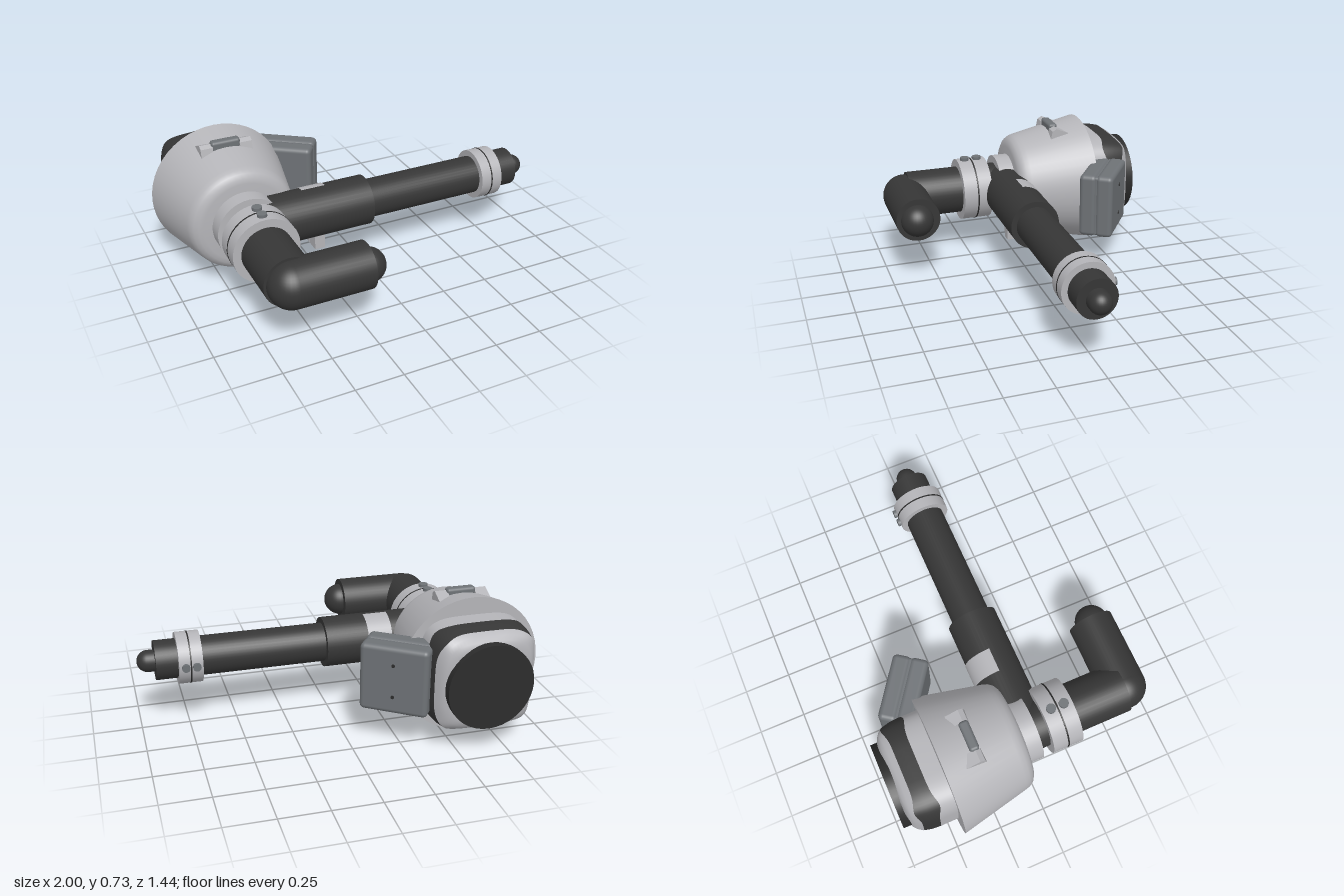
import * as THREE from 'three';
import { toCreasedNormals } from 'three/addons/utils/BufferGeometryUtils.js';
import { RoundedBoxGeometry } from 'three/addons/geometries/RoundedBoxGeometry.js';

const CX = -0.63, CY = 0.373; // main axis of the housing
const ARM_Z = 0.025;          // axis of the long arm

function mat(name, color) {
  const m = new THREE.MeshStandardMaterial({ color, side: THREE.DoubleSide });
  m.name = name;
  return m;
}

export function createModel() {
  const light = mat('light grey', 0xb4b4b8);
  const mid = mat('mid grey', 0x6e7276);
  const dark = mat('dark grey', 0x363636);
  const black = mat('near black', 0x2c2c2c);
  const root = new THREE.Group();

  function add(name, geometry, material, x = 0, y = 0, z = 0, parent = root) {
    const mesh = new THREE.Mesh(geometry, material);
    mesh.name = name;
    mesh.position.set(x, y, z);
    parent.add(mesh);
    return mesh;
  }
  // cylinders along z on the main axis, and along x at depth z
  function alongZ(name, material, r, z0, z1) {
    const g = new THREE.CylinderGeometry(r, r, z1 - z0, 40).rotateX(Math.PI / 2);
    return add(name, g, material, CX, CY, (z0 + z1) / 2);
  }
  function alongX(name, material, r, x0, x1, z) {
    const g = new THREE.CylinderGeometry(r, r, x1 - x0, 40).rotateZ(-Math.PI / 2);
    return add(name, g, material, (x0 + x1) / 2, CY, z);
  }

  // Flared housing shell
  const profile = [[0, -0.45], [0.367, -0.45], [0.289, -0.085], [0.282, -0.06], [0.268, -0.038],
    [0.245, -0.024], [0.22, -0.02], [0, -0.02]].map(([r, z]) => new THREE.Vector2(r, z));
  const shell = new THREE.LatheGeometry(profile, 48).rotateX(Math.PI / 2);
  add('flaredHousing', toCreasedNormals(shell, 0.6), light, CX, CY, 0);

  // Rounded square rear body, lofted along z; the band widens at the corners
  function loft(name, material, sections) {
    const N = 64, pos = [], idx = [];
    sections.forEach(([z, h, shift = 0]) => {
      for (let i = 0; i < N; i++) {
        const a = (i / N) * Math.PI * 2, c = Math.cos(a), s = Math.sin(a);
        const corner = Math.pow(Math.sin(2 * a), 4);
        pos.push(h * Math.sign(c) * Math.sqrt(Math.abs(c)), h * Math.sign(s) * Math.sqrt(Math.abs(s)), z + shift * corner);
      }
    });
    for (let k = 0; k < sections.length - 1; k++) {
      for (let i = 0; i < N; i++) {
        const j = (i + 1) % N, a = k * N, b = a + N;
        idx.push(a + i, b + i, a + j, a + j, b + i, b + j);
      }
    }
    const g = new THREE.BufferGeometry();
    g.setAttribute('position', new THREE.Float32BufferAttribute(pos, 3));
    g.setIndex(idx);
    g.computeVertexNormals();
    add(name, g, material, CX, CY + 0.002, 0);
  }
  loft('rearBody', light, [[-0.42, 0.273], [-0.545, 0.273, 0.02]]);
  loft('rearBand', dark, [[-0.545, 0.273, 0.02], [-0.59, 0.27], [-0.632, 0.26, -0.02]]);
  loft('rearShoulder', light, [[-0.632, 0.26, -0.02], [-0.66, 0.243, -0.01], [-0.68, 0.222], [-0.692, 0.19], [-0.695, 0]]);
  alongZ('rearDisc', black, 0.223, -0.724, -0.68);

  // Grab handles above and below the housing
  for (const side of [1, -1]) {
    const handle = new THREE.Group();
    handle.name = side > 0 ? 'topHandle' : 'bottomHandle';
    handle.position.set(CX, CY, 0);
    if (side < 0) handle.rotation.z = Math.PI;
    root.add(handle);
    add('handleBar', new RoundedBoxGeometry(0.155, 0.055, 0.05, 3, 0.015), mid, 0, 0.332, -0.275, handle);
    for (const s of [1, -1]) {
      // wedge-shaped lug sinking into the shell towards the back
      const wedge = new THREE.Shape([[0.24, 0.29], [0.25, 0.335], [0.275, 0.348], [0.345, 0.318], [0.345, 0.29]]
        .map(([z, y]) => new THREE.Vector2(z, y)));
      const g = new THREE.ExtrudeGeometry(wedge, { depth: 0.065, bevelEnabled: false });
      g.rotateY(Math.PI / 2).translate(-0.0325, 0, 0);
      add('handleLug', g, light, s * 0.105, 0, 0, handle);
    }
  }

  // Angled side box in two halves with a seam and screws
  const box = new THREE.Group();
  box.name = 'sideBox';
  box.position.set(-0.242, 0.377, -0.465);
  box.rotation.y = -0.62;
  root.add(box);
  for (const s of [1, -1]) {
    add('boxHalf', new RoundedBoxGeometry(0.35, 0.358, 0.095, 4, 0.025), mid, 0, 0, s * 0.046, box);
  }
  add('boxSeam', new RoundedBoxGeometry(0.336, 0.344, 0.03, 3, 0.012), mid, 0, 0, 0, box);
  for (const y of [0.085, -0.085]) {
    const g = new THREE.CylinderGeometry(0.009, 0.009, 0.006, 16).rotateX(Math.PI / 2);
    add('boxScrew', g, black, 0, y, -0.0945, box);
  }

  // Neck, collar and short bent arm
  alongZ('neckFlange', light, 0.175, -0.03, 0.065);
  alongZ('neckPipe', dark, 0.132, 0, 0.58);
  alongZ('neckCollar', light, 0.175, 0.122, 0.285);
  alongZ('neckCollarSeam', black, 0.1765, 0.2, 0.208);
  for (const z of [0.17, 0.24]) {
    add('collarBolt', new THREE.CylinderGeometry(0.025, 0.025, 0.04, 20), mid, CX, 0.543, z);
  }
  add('elbow', new THREE.SphereGeometry(0.12, 32, 24), dark, CX, CY, 0.598);
  alongX('shortArm', dark, 0.12, CX, -0.245, 0.598);
  add('shortArmTip', new THREE.SphereGeometry(0.088, 32, 24), dark, -0.243, CY, 0.605);

  // Long arm, end collar and tip
  alongX('upperArm', dark, 0.133, CX, 0.02, ARM_Z);
  alongX('foreArm', dark, 0.103, 0.02, 0.91, ARM_Z);
  alongX('armCollar', light, 0.135, 0.675, 0.798, ARM_Z);
  alongX('armCollarSeam', black, 0.1365, 0.733, 0.74, ARM_Z);
  for (const x of [0.708, 0.764]) {
    const g = new THREE.CylinderGeometry(0.021, 0.021, 0.03, 20).rotateX(Math.PI / 2);
    add('armBolt', g, mid, x, CY, -0.11);
  }
  alongX('armTipStem', dark, 0.057, 0.9, 0.943, ARM_Z);
  add('armTip', new THREE.SphereGeometry(0.057, 28, 20), dark, 0.943, CY, ARM_Z);

  // Half sleeve on the back of the upper arm, with a split clamp below
  const sleeve = new THREE.CylinderGeometry(0.136, 0.136, 0.13, 24, 1, true, Math.PI + 0.19, Math.PI - 0.19);
  sleeve.rotateZ(-Math.PI / 2).rotateX(Math.PI / 2);
  // turn the arc so that it faces the back
  sleeve.computeBoundingBox();
  const b = sleeve.boundingBox, midY = b.min.y + b.max.y, midZ = b.min.z + b.max.z;
  sleeve.rotateX(Math.PI - Math.atan2(-midY, midZ));
  add('armSleeve', sleeve, light, -0.27, CY, ARM_Z);
  for (const z of [-0.009, 0.066]) {
    add('clampBlock', new THREE.BoxGeometry(0.055, 0.085, 0.07), light, -0.272, 0.23, z);
  }
  add('clampBolt', new THREE.CylinderGeometry(0.018, 0.018, 0.05, 16).rotateX(Math.PI / 2), mid, -0.272, 0.235, -0.04);

  return root;
}
